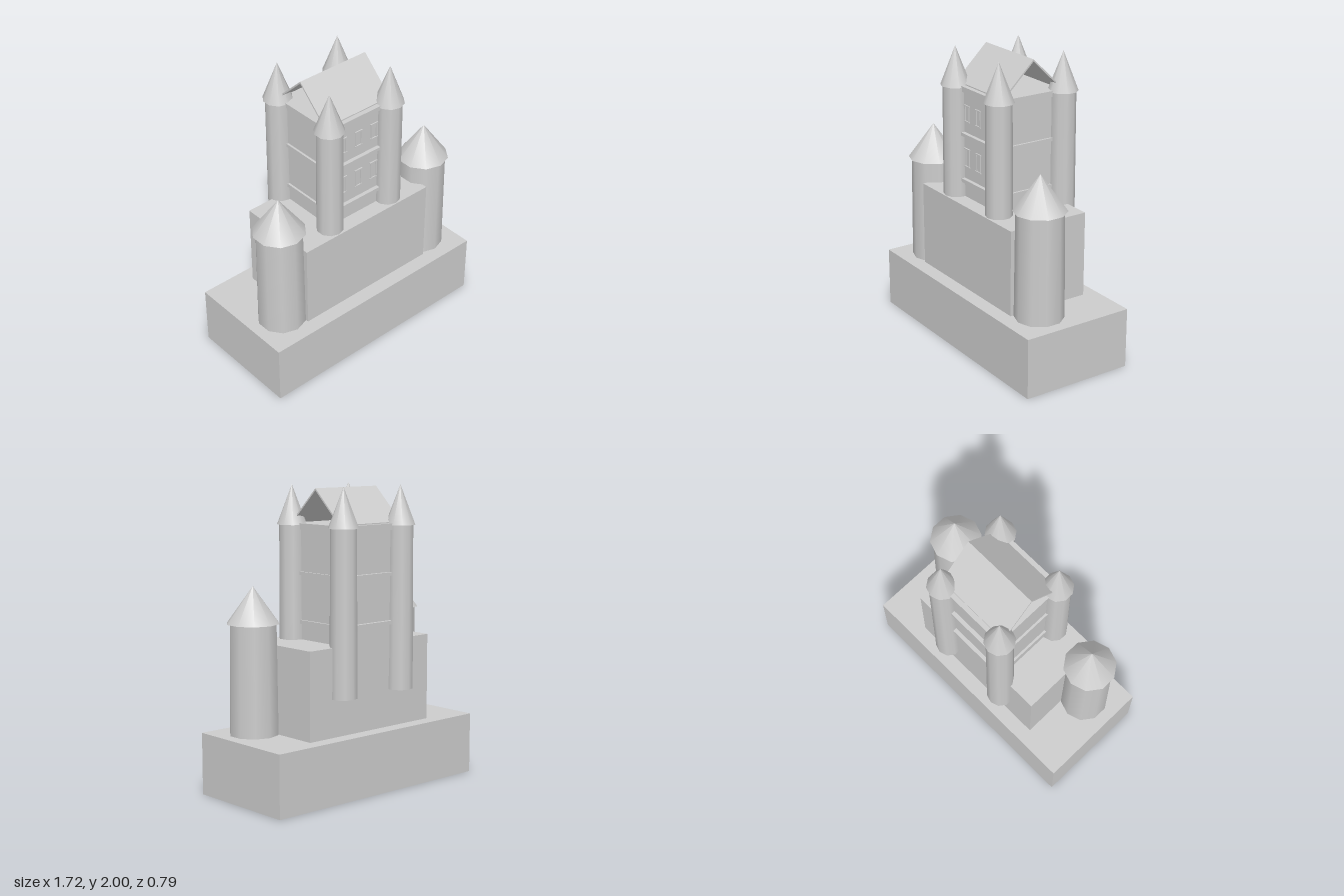
import * as THREE from 'three';

export function createModel() {
  const model = new THREE.Group();
  model.name = 'castle';
  const stone = new THREE.MeshStandardMaterial({ color: 0xcccccc });
  stone.name = 'pale stone';

  const add = (name, geometry, x, y, z, parent = model) => {
    const mesh = new THREE.Mesh(geometry, stone);
    mesh.name = name;
    mesh.position.set(x, y, z);
    parent.add(mesh);
    return mesh;
  };
  // Box given by its centre in x and z and by its bottom and top heights
  const block = (name, w, d, y0, y1, x, z, parent) =>
    add(name, new THREE.BoxGeometry(w, y1 - y0, d), x, (y0 + y1) / 2, z, parent);

  // Slightly tapered ten-sided tower with a pointed roof
  const tower = (name, x, z, y0, y1, y2, rBottom, rTop, rRoof) => {
    const group = new THREE.Group();
    group.name = name;
    model.add(group);
    add('towerShaft', new THREE.CylinderGeometry(rTop, rBottom, y1 - y0, 10), x, (y0 + y1) / 2, z, group);
    add('towerRoof', new THREE.ConeGeometry(rRoof, y2 - y1, 10), x, (y1 + y2) / 2, z, group);
  };

  // Stepped base
  block('base', 1.715, 0.78, 0, 0.41, 0, 0.007, model);
  block('upperBase', 1.05, 0.58, 0.4, 0.99, -0.002, 0.006, model);

  // Towers
  for (const [side, s] of [['left', 1], ['right', -1]]) {
    tower(side + 'GateTower', s * 0.625, 0.147, 0.4, 1.13, 1.37, 0.162, 0.154, 0.174);
    tower(side + 'FrontTurret', s * 0.25, 0.2, 0.66, 1.74, 2, 0.091, 0.086, 0.1);
    tower(side + 'BackTurret', s * 0.25, -0.295, 0.66, 1.74, 2, 0.091, 0.086, 0.1);
  }

  // Keep with string courses and cornice
  const cz = -0.05;
  block('keepWalls', 0.49, 0.476, 0.75, 1.74, 0, cz, model);
  block('lowerCourse', 0.52, 0.53, 1.095, 1.12, 0, cz, model);
  block('middleCourse', 0.52, 0.53, 1.415, 1.437, 0, cz, model);
  block('cornice', 0.51, 0.51, 1.71, 1.74, 0, cz, model);
  block('corniceCap', 0.53, 0.53, 1.74, 1.752, 0, cz, model);

  // Open gable roof made of two thin slopes
  const t = 0.014;
  const chevron = new THREE.Shape();
  chevron.moveTo(-0.232, 1.745);
  chevron.lineTo(0, 1.982 - t);
  chevron.lineTo(0.232, 1.745);
  chevron.lineTo(0.232, 1.745 + t);
  chevron.lineTo(0, 1.982);
  chevron.lineTo(-0.232, 1.745 + t);
  chevron.closePath();
  const roof = new THREE.ExtrudeGeometry(chevron, { depth: 0.535, bevelEnabled: false });
  roof.translate(0, 0, -0.2675).rotateY(Math.PI / 2);
  add('keepRoof', roof, 0, 0, cz);

  // Two rows of framed windows on the front wall
  const wallZ = cz + 0.238;
  for (const [y0, y1] of [[1.2, 1.33], [1.51, 1.625]]) {
    for (const x of [-0.13, 0, 0.13]) {
      const frame = new THREE.Group();
      frame.name = 'windowFrame';
      model.add(frame);
      block('sill', 0.062, 0.018, y0, y0 + 0.008, x, wallZ, frame);
      block('lintel', 0.062, 0.018, y1 - 0.008, y1, x, wallZ, frame);
      for (const s of [-1, 1]) block('jamb', 0.007, 0.014, y0, y1 - 0.004, x + s * 0.022, wallZ, frame);
    }
  }
  return model;
}
